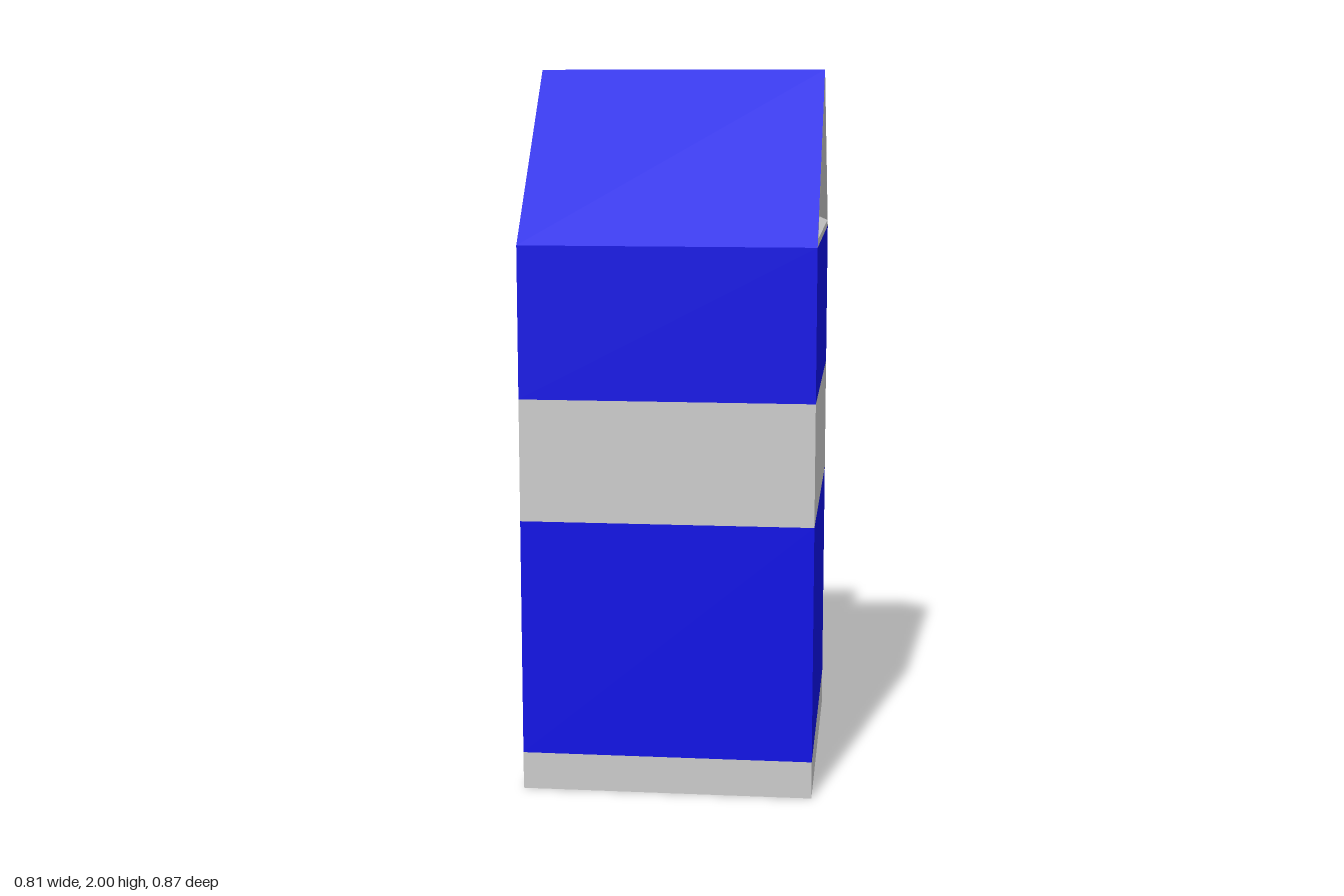
import * as THREE from 'three';

const W = 0.405, D = 0.436, EAVE = 1.53, RIDGE = 2;
const grey = new THREE.MeshStandardMaterial({ color: 0xcccccc, flatShading: true });
const blue = new THREE.MeshStandardMaterial({ color: 0x0f10e5, flatShading: true });

// Flat-shaded geometry from convex polygons, corners anticlockwise from outside
function polygons(faces) {
  const pos = [];
  for (const f of faces)
    for (let i = 1; i < f.length - 1; i++) pos.push(...f[0], ...f[i], ...f[i + 1]);
  const g = new THREE.BufferGeometry();
  g.setAttribute('position', new THREE.Float32BufferAttribute(pos, 3));
  g.computeVertexNormals();
  return g;
}

function add(parent, name, geometry, material) {
  const mesh = new THREE.Mesh(geometry, material);
  mesh.name = name;
  parent.add(mesh);
  return mesh;
}

// Four walls of the carton between two heights
function band(y0, y1) {
  const ring = [[W, D], [W, -D], [-W, -D], [-W, D]];
  return polygons(ring.map(([x, z], i) => {
    const [u, v] = ring[(i + 1) % 4];
    return [[x, y0, z], [u, y0, v], [u, y1, v], [x, y1, z]];
  }));
}

// Gable end: flat frame, then walls folding inwards to a small triangle
function gable(side) {
  const loops = [
    [W, D, EAVE, RIDGE],
    [W, 0.39, 1.55, 1.975],
    [W - 0.16, 0.035, 1.65, 1.69],
  ].map(([x, z, low, high]) =>
    [[x * side, low, z], [x * side, low, -z], [x * side, high, 0]]);
  const faces = [];
  for (let k = 0; k < 2; k++)
    for (let i = 0; i < 3; i++) {
      const j = (i + 1) % 3;
      faces.push([loops[k][i], loops[k][j], loops[k + 1][j], loops[k + 1][i]]);
    }
  faces.push(loops[2]);
  return polygons(side > 0 ? faces : faces.map((f) => [...f].reverse()));
}

export function createModel() {
  const model = new THREE.Group();
  model.name = 'carton';

  // Body
  add(model, 'base', polygons([[[-W, 0, -D], [W, 0, -D], [W, 0, D], [-W, 0, D]]]), grey);
  add(model, 'bottomBand', band(0, 0.105), grey);
  add(model, 'lowerBody', band(0.105, 0.77), blue);
  add(model, 'middleBand', band(0.77, 1.11), grey);
  add(model, 'upperBody', band(1.11, EAVE), blue);

  // Roof
  add(model, 'frontRoof', polygons([
    [[-W, EAVE, D], [W, EAVE, D], [W, RIDGE, 0], [-W, RIDGE, 0]]]), blue);
  add(model, 'backRoof', polygons([
    [[W, EAVE, -D], [-W, EAVE, -D], [-W, RIDGE, 0], [W, RIDGE, 0]]]), blue);
  add(model, 'leftGable', gable(1), grey);
  add(model, 'rightGable', gable(-1), grey);

  // Screw cap on the back slope, its origin at the centre of the lid
  const spout = new THREE.Group();
  spout.name = 'spout';
  spout.position.set(0, 1.857, -0.318);
  spout.rotation.x = -Math.PI / 4;
  model.add(spout);
  add(spout, 'cap', new THREE.CylinderGeometry(0.163, 0.163, 0.085, 12), grey).position.y = -0.0425;
  add(spout, 'neck', new THREE.CylinderGeometry(0.157, 0.157, 0.065, 12, 1, true), grey).position.y = -0.1175;

  return model;
}
